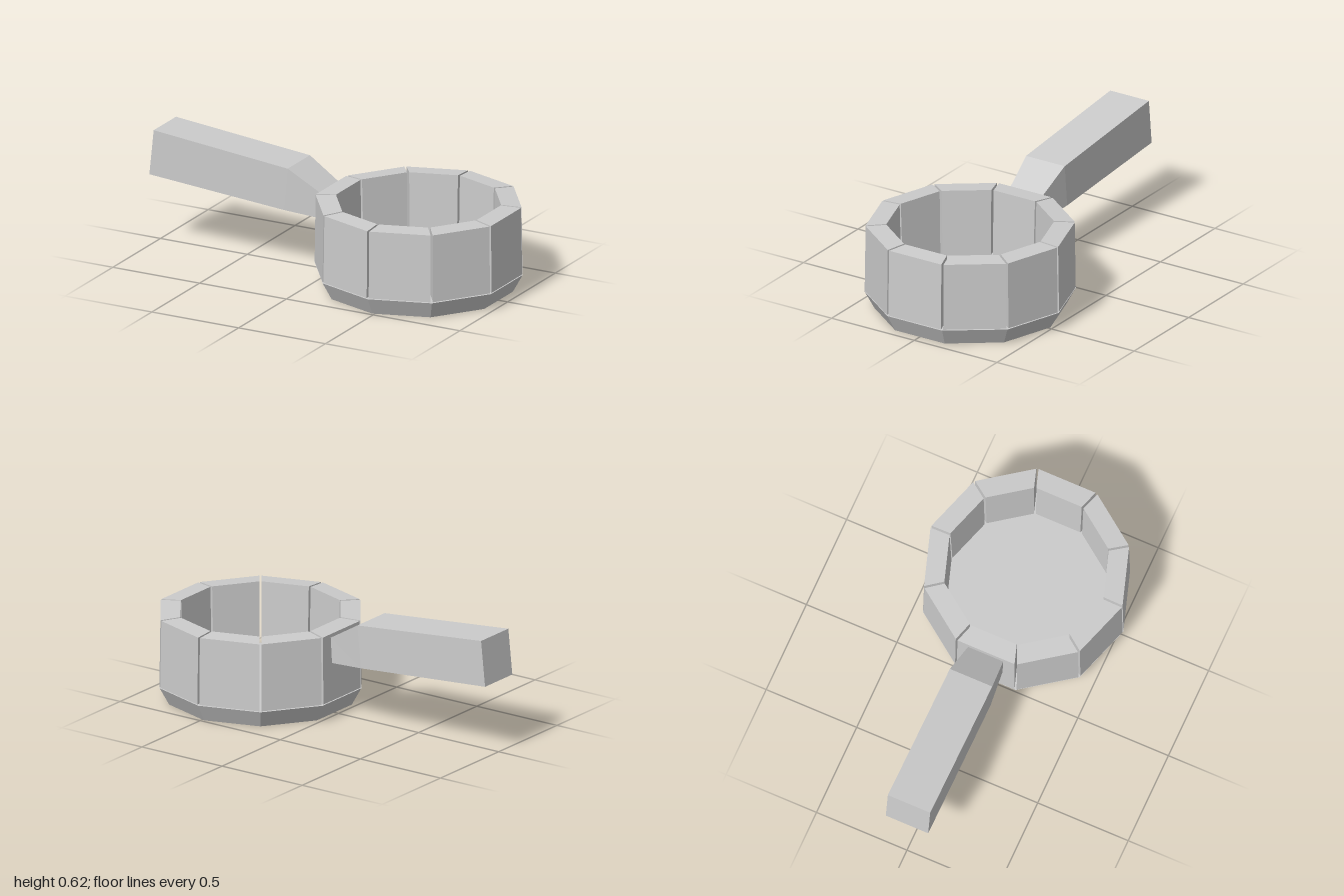
import * as THREE from 'three';

const material = new THREE.MeshStandardMaterial({ color: 0xcccccc, flatShading: true });
const SIDES = 10;
const CENTRE_X = 0.487;

// Joins four-cornered cross-sections into a closed solid.
// Corners run counter-clockwise when looking back along the loft direction.
function loft(sections) {
  const positions = [];
  const quad = (a, b, c, d) => positions.push(...a, ...b, ...c, ...a, ...c, ...d);
  for (let s = 0; s < sections.length - 1; s++) {
    const near = sections[s], far = sections[s + 1];
    for (let i = 0; i < 4; i++) {
      const j = (i + 1) % 4;
      quad(near[i], near[j], far[j], far[i]);
    }
  }
  const [a, b, c, d] = sections[0];
  quad(d, c, b, a);
  quad(...sections[sections.length - 1]);
  const geometry = new THREE.BufferGeometry();
  geometry.setAttribute('position', new THREE.Float32BufferAttribute(positions, 3));
  geometry.computeVertexNormals();
  return geometry;
}

function addMesh(parent, name, geometry) {
  const mesh = new THREE.Mesh(geometry, material);
  mesh.name = name;
  parent.add(mesh);
  return mesh;
}

// Wedge-shaped stave facing +x, with a narrow gap left at both mitred ends
function staveGeometry() {
  const gap = 0.006;
  const halfWidth = (apothem) => apothem * Math.tan(Math.PI / SIDES) - gap;
  const section = (inner, innerY, outer, outerY) => {
    const wi = halfWidth(inner), wo = halfWidth(outer);
    return [[inner, innerY, -wi], [inner, innerY, wi], [outer, outerY, wo], [outer, outerY, -wo]];
  };
  return loft([
    section(0.394, 0.105, 0.509, 0.097),
    section(0.404, 0.459, 0.504, 0.453),
  ]);
}

export function createModel() {
  const model = new THREE.Group();
  model.name = 'pan';

  // Bowl: a flared base with a ring of separate staves
  const bowl = new THREE.Group();
  bowl.name = 'bowl';
  bowl.position.x = CENTRE_X;
  model.add(bowl);

  const base = addMesh(bowl, 'base', new THREE.CylinderGeometry(0.535, 0.485, 0.092, SIDES));
  base.position.y = 0.046;

  const stave = staveGeometry();
  for (let i = 0; i < SIDES; i++) {
    addMesh(bowl, 'wallStave', stave).rotation.y = (i / SIDES) * Math.PI * 2;
  }

  // Handle: a square bar rising away from the bowl, tapered at its root
  const handleSection = (xBottom, bottom, xTop, top, w) => [
    [xBottom, bottom, -w], [xTop, top, -w], [xTop, top, w], [xBottom, bottom, w],
  ];
  addMesh(model, 'handle', loft([
    handleSection(-1, 0.38, -0.975, 0.62, 0.117),
    handleSection(-0.225, 0.32, -0.203, 0.545, 0.117),
    handleSection(-0.03, 0.303, -0.022, 0.437, 0.097),
  ]));

  return model;
}
